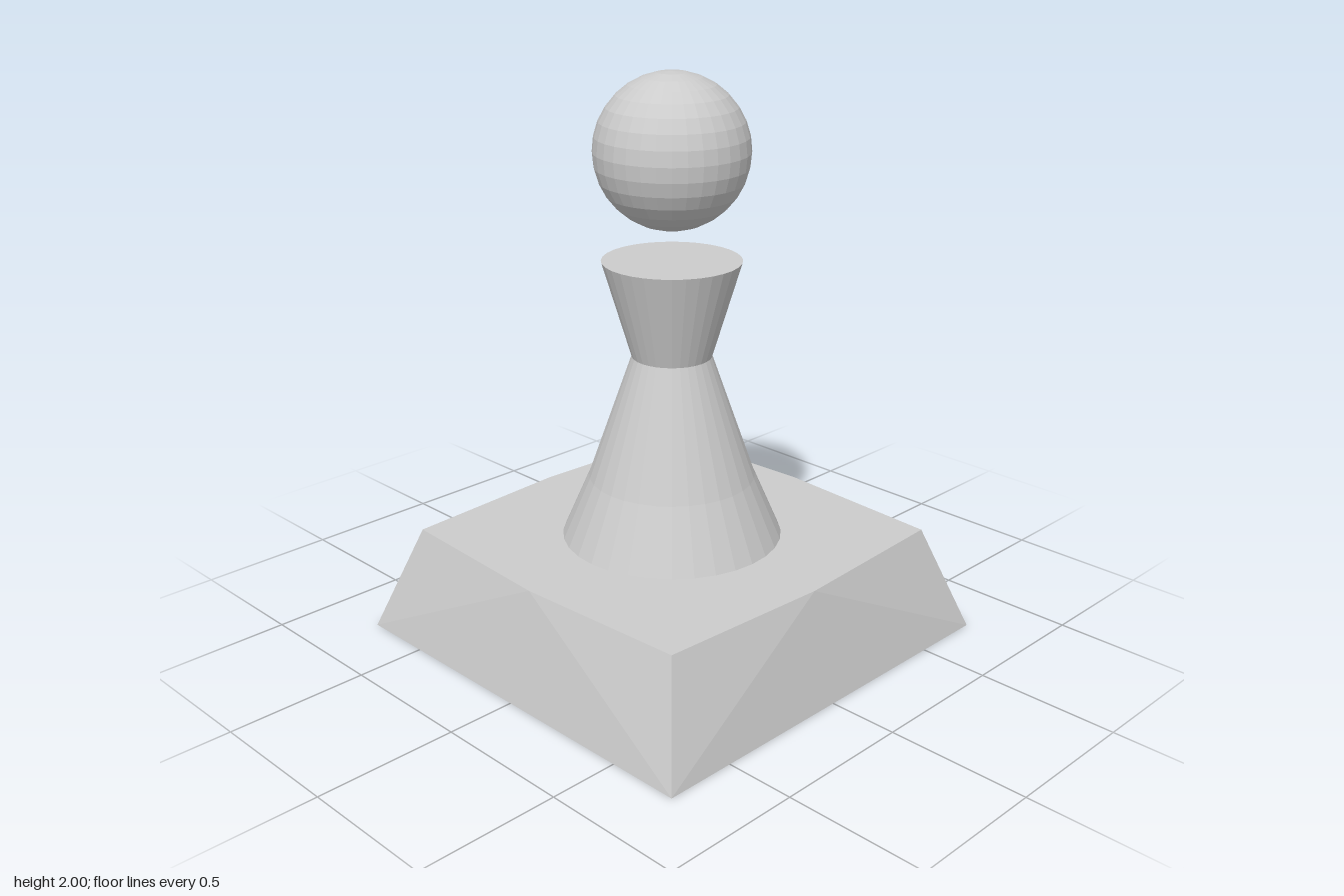
import * as THREE from 'three';

const material = new THREE.MeshStandardMaterial({ color: 0xcccccc, flatShading: true });

function addPart(group, name, geometry, y = 0) {
  const mesh = new THREE.Mesh(geometry, material);
  mesh.name = name;
  mesh.position.y = y;
  group.add(mesh);
}

// Tapered square plinth whose upper edges bow outward at their midpoints
function plinthGeometry(bottom, corner, middle, height) {
  const positions = [];
  let turn = ([x, y, z]) => [x, y, z];
  for (let side = 0; side < 4; side++) {
    const A = turn([-bottom, 0, -bottom]), B = turn([bottom, 0, -bottom]);
    const a = turn([-corner, height, -corner]), b = turn([corner, height, -corner]);
    const m = turn([0, height, -middle]);
    const top = [0, height, 0], base = [0, 0, 0];
    const triangles = [
      B, A, m, A, a, m, B, m, b, // sloping side
      top, b, m, top, m, a, // quarter of the top
      base, A, B, // quarter of the underside
    ];
    positions.push(...triangles.flat());
    const previous = turn;
    turn = (p) => {
      const [x, y, z] = previous(p);
      return [-z, y, x];
    };
  }
  const geometry = new THREE.BufferGeometry();
  geometry.setAttribute('position', new THREE.Float32BufferAttribute(positions, 3));
  geometry.computeVertexNormals();
  return geometry;
}

export function createModel() {
  const group = new THREE.Group();
  group.name = 'pawn';

  addPart(group, 'base', plinthGeometry(0.755, 0.625, 0.66, 0.38));

  // Slightly flared body, closed at both ends
  const profile = [[0, 0.38], [0.385, 0.38], [0.29, 0.6], [0.138, 1.035], [0, 1.035]];
  addPart(group, 'body', new THREE.LatheGeometry(profile.map(([r, y]) => new THREE.Vector2(r, y)), 32));

  // Collar widening upward
  addPart(group, 'collar', new THREE.CylinderGeometry(0.238, 0.138, 0.335, 32), 1.2025);

  // Ball floating above the collar
  addPart(group, 'head', new THREE.SphereGeometry(0.262, 32, 16), 1.738);

  return group;
}
